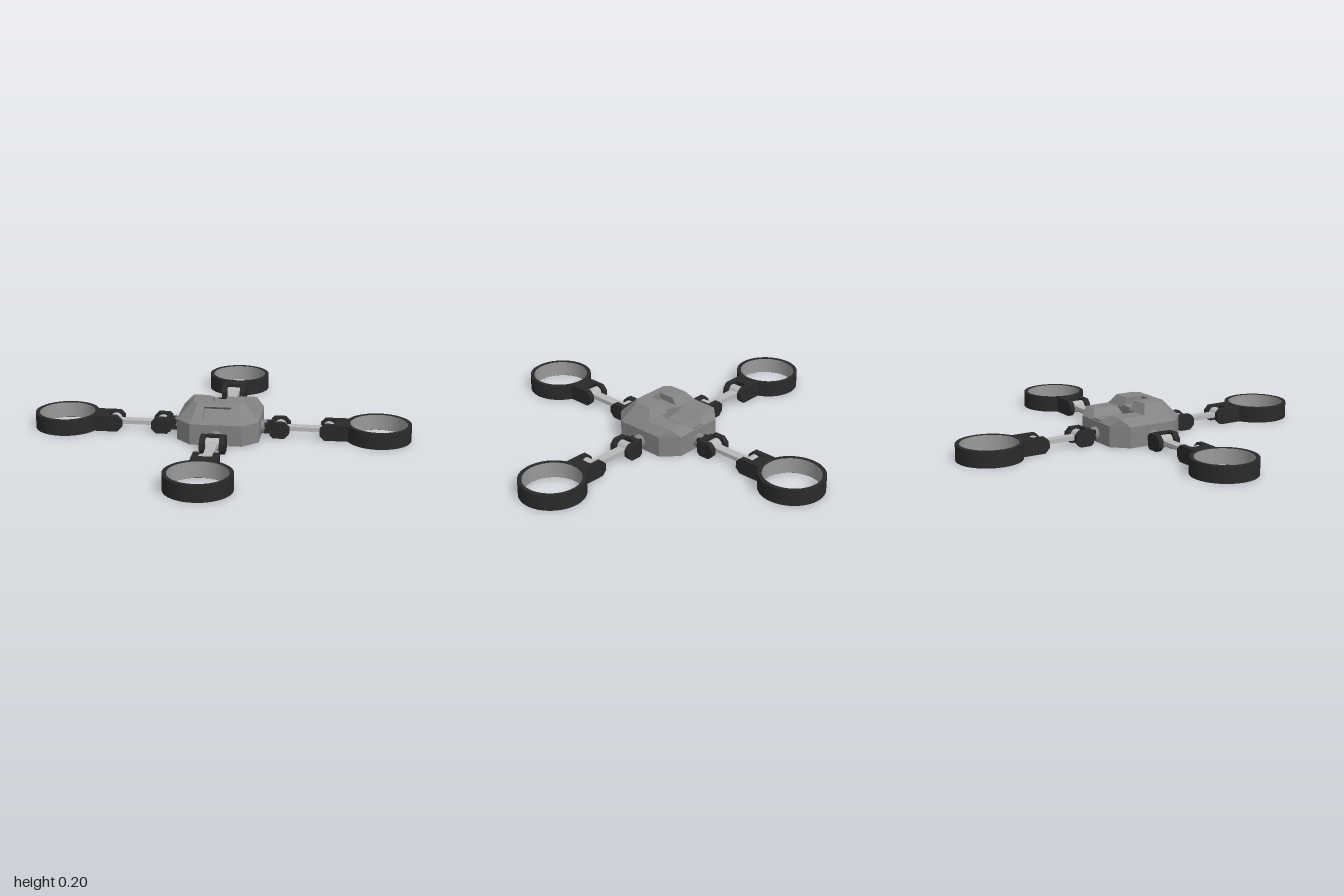
import * as THREE from 'three';
import { toCreasedNormals } from 'three/addons/utils/BufferGeometryUtils.js';
import { ConvexGeometry } from 'three/addons/geometries/ConvexGeometry.js';

const mat = (color, side = THREE.FrontSide) => new THREE.MeshStandardMaterial({ color, side });
const grey = mat(0x848484), dark = mat(0x2a2a2a), light = mat(0xb8b8b8), lining = mat(0x9a9a9a, THREE.BackSide);

function add(parent, name, geometry, material, x = 0, y = 0, z = 0) {
  const mesh = new THREE.Mesh(geometry, material);
  mesh.name = name;
  mesh.position.set(x, y, z);
  parent.add(mesh);
  return mesh;
}

const polygon = (pts) => new THREE.Shape(pts.map(([a, b]) => new THREE.Vector2(a, b)));
const extrude = (shape, depth) =>
  toCreasedNormals(new THREE.ExtrudeGeometry(shape, { depth, bevelEnabled: false, curveSegments: 32 }), 0.5);
// Extrudes an x-z outline upward
const slab = (shape, height) => extrude(shape, height).rotateX(-Math.PI / 2);
// Extrudes a z-y profile between two x positions
const across = (pts, x0, x1) =>
  extrude(polygon(pts.map(([z, y]) => [-z, y])), x1 - x0).rotateY(Math.PI / 2).translate(x0, 0, 0);
// Convex block from corner points, on either side
const hull = (pts, s) => new ConvexGeometry(pts.map(([x, y, z]) => new THREE.Vector3(x * s, y, z)));

function withHole(shape, r) {
  shape.holes.push(new THREE.Path().absarc(0, 0, r, 0, Math.PI * 2, true));
  return shape;
}

const octagon = () => polygon([
  [0.135, -0.215], [0.215, -0.135], [0.215, 0.135], [0.135, 0.215],
  [-0.135, 0.215], [-0.215, 0.135], [-0.215, -0.135], [-0.135, -0.215],
]);

function makeBody() {
  const body = new THREE.Group();
  body.name = 'body';
  // Lower hull with a round well in the underside
  add(body, 'lowerRim', slab(withHole(octagon(), 0.107), 0.05), grey);
  add(body, 'lowerHull', slab(octagon(), 0.06), grey, 0, 0.05, 0);
  add(body, 'undersideWell', new THREE.CylinderGeometry(0.106, 0.106, 0.01, 40), dark, 0, 0.046, 0);

  // Nose strip with the recessed window
  add(body, 'noseWindow', across([
    [0.215, 0.11], [0.201, 0.125], [0.187, 0.111], [0.13, 0.171],
    [0.144, 0.185], [0.13, 0.2], [0.09, 0.2], [0.09, 0.11],
  ], -0.07, 0.07), grey);
  // Roof groove floor and rear channel floor
  add(body, 'grooveFloor', new THREE.BoxGeometry(0.07, 0.055, 0.12), grey, 0, 0.1375, 0.03);
  add(body, 'channelFloor', new THREE.BoxGeometry(0.07, 0.02, 0.176), grey, 0, 0.11, -0.118);

  for (const s of [1, -1]) {
    const x = [0.035 * s, 0.07 * s].sort((a, b) => a - b);
    add(body, 'grooveWall', across([
      [0.09, 0.11], [0.09, 0.2], [0, 0.2], [-0.03, 0.15], [-0.03, 0.11],
    ], x[0], x[1]), grey);
    add(body, 'frontRoof', hull([
      [0.07, 0.11, 0.215], [0.07, 0.2, 0.13], [0.07, 0.2, 0], [0.07, 0.15, -0.03], [0.07, 0.11, -0.03],
      [0.135, 0.11, 0.215], [0.215, 0.11, 0.135], [0.215, 0.11, -0.03],
      [0.105, 0.2, 0.13], [0.135, 0.2, 0.1], [0.135, 0.2, 0], [0.177, 0.15, -0.03],
    ], s), grey);
    add(body, 'rearDeck', hull([
      [0.085, 0.15, -0.03], [0.085, 0.15, -0.172], [0.085, 0.11, -0.215], [0.085, 0.11, -0.03],
      [0.177, 0.15, -0.03], [0.215, 0.11, -0.03], [0.215, 0.11, -0.135],
      [0.135, 0.11, -0.215], [0.172, 0.15, -0.172],
    ], s), grey);
    add(body, 'channelSlope', hull([
      [0.085, 0.15, -0.03], [0.085, 0.15, -0.172], [0.085, 0.11, -0.215], [0.085, 0.11, -0.03],
      [0.035, 0.12, -0.03], [0.035, 0.12, -0.206], [0.035, 0.11, -0.215], [0.035, 0.11, -0.03],
    ], s), grey);
  }
  return body;
}

// Two-pronged bracket: chamfered cheeks joined by a web
function addFork(arm, name, x0, x1, c0, c1, web0, web1) {
  const h = 0.085;
  const cheek = polygon([
    [x0 + c0, 0], [x1 - c1, 0], [x1, c1], [x1, h - c1],
    [x1 - c1, h], [x0 + c0, h], [x0, h - c0], [x0, c0],
  ]);
  for (const z of [-0.065, 0.036]) add(arm, name + 'Cheek', extrude(cheek, 0.029), dark, 0, 0, z);
  add(arm, name + 'Web', new THREE.BoxGeometry(web1 - web0, h - 0.004, 0.074), dark, (web0 + web1) / 2, h / 2, 0);
}

function makeArm() {
  const arm = new THREE.Group();
  arm.name = 'arm';
  const mid = 0.043;
  // Hip joint
  add(arm, 'hipCollar', new THREE.CylinderGeometry(0.032, 0.04, 0.04, 16).rotateZ(-Math.PI / 2), grey, 0.225, mid, 0);
  add(arm, 'hipLink', new THREE.BoxGeometry(0.05, 0.055, 0.066), dark, 0.258, mid, 0);
  addFork(arm, 'innerFork', 0.265, 0.365, 0.015, 0.025, 0.268, 0.288);
  // Rod with a hinge barrel at each end
  add(arm, 'rod', new THREE.BoxGeometry(0.255, 0.022, 0.05), light, 0.4425, mid, 0);
  for (const x of [0.315, 0.57])
    add(arm, 'hingeBarrel', new THREE.CylinderGeometry(0.032, 0.032, 0.072, 20).rotateX(Math.PI / 2), light, x, mid, 0);
  addFork(arm, 'outerFork', 0.525, 0.674, 0.025, 0.001, 0.605, 0.672);
  // Rotor ring
  const ring = withHole(new THREE.Shape().absarc(0, 0, 0.17, 0, Math.PI * 2, false), 0.15);
  add(arm, 'rotorRing', slab(ring, 0.085), dark, 0.83, 0, 0);
  add(arm, 'ringLining', new THREE.CylinderGeometry(0.149, 0.149, 0.083, 64, 1, true), lining, 0.83, 0.0425, 0);
  return arm;
}

export function createModel() {
  const model = new THREE.Group();
  model.name = 'quadcopter';
  model.add(makeBody());
  for (let i = 0; i < 4; i++) {
    const arm = makeArm();
    arm.rotation.y = (i * Math.PI) / 2;
    model.add(arm);
  }
  return model;
}
